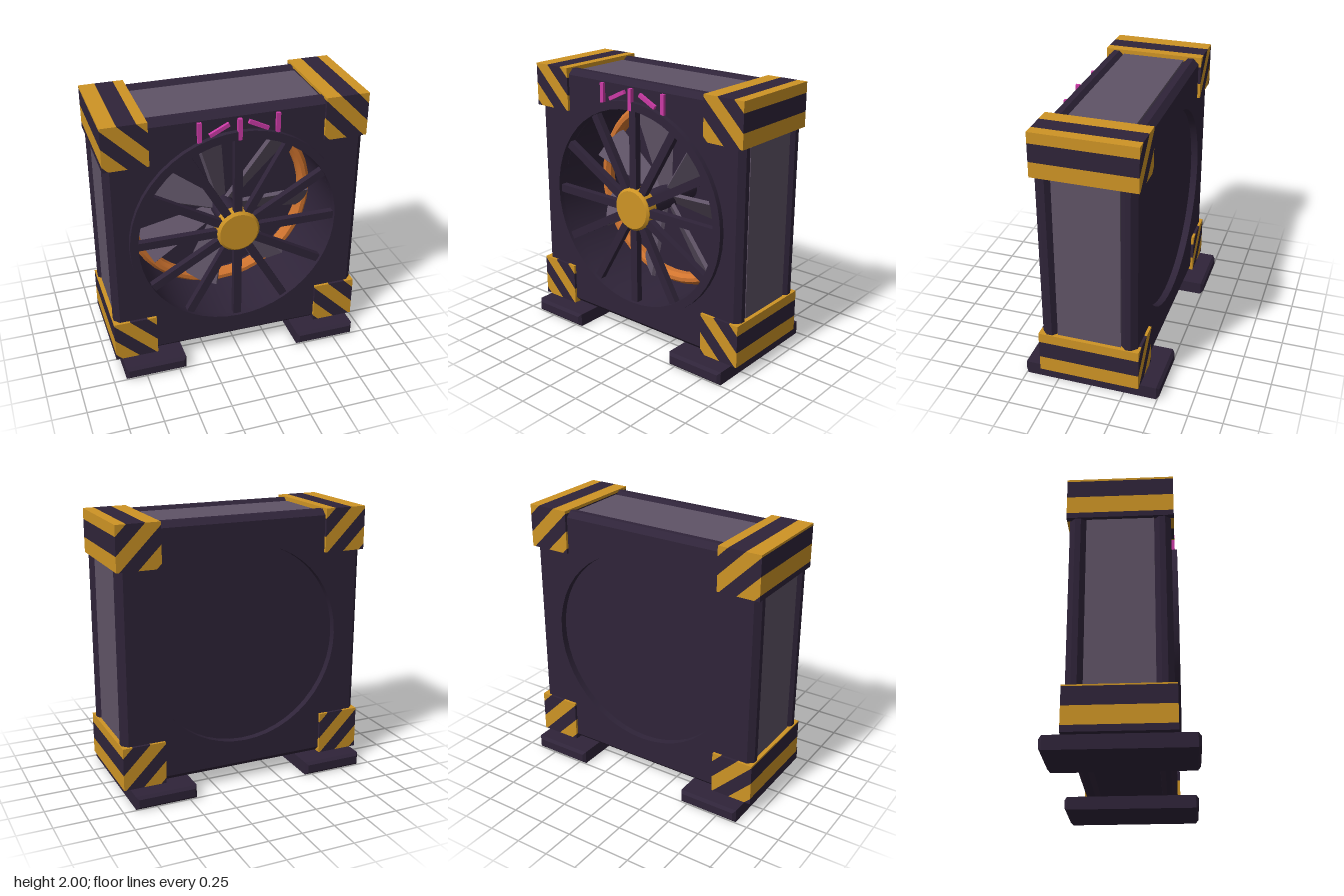
import * as THREE from 'three';
import { toCreasedNormals } from 'three/addons/utils/BufferGeometryUtils.js';

const CY = 1.05; // height of the fan axis

function material(name, color, extra = {}) {
  const m = new THREE.MeshStandardMaterial({ color, ...extra });
  m.name = name;
  return m;
}

export function createModel() {
  const dark = material('dark casing', 0x2f2439, { side: THREE.DoubleSide });
  const grey = material('grey metal', 0x5f5366);
  const yellow = material('hazard yellow', 0xce9425);
  const orange = material('orange glow', 0xd0742f);
  const pink = material('magenta accent', 0xcc3aa6);

  const model = new THREE.Group();
  model.name = 'industrialFan';

  function add(name, geo, mat, x = 0, y = 0, z = 0, parent = model) {
    const m = new THREE.Mesh(geo, mat);
    m.name = name;
    m.position.set(x, y, z);
    parent.add(m);
    return m;
  }
  const box = (w, h, d) => new THREE.BoxGeometry(w, h, d);
  const polygon = (pts) => new THREE.Shape(pts.map(([x, y]) => new THREE.Vector2(x, y)));

  // Box with chamfered edges, optionally pierced by a round hole
  function chamferBox(w, h, d, c, hole = 0) {
    const a = w / 2 - c, b = h / 2 - c;
    const shape = polygon([[-a, -b], [a, -b], [a, b], [-a, b]]);
    if (hole) {
      const path = new THREE.Path();
      path.absarc(0, 0, hole, 0, Math.PI * 2, true);
      shape.holes.push(path);
    }
    const geo = new THREE.ExtrudeGeometry(shape, {
      depth: d - 2 * c, bevelEnabled: true, bevelSize: c, bevelThickness: c,
      bevelSegments: 1, curveSegments: 48,
    });
    return geo.translate(0, 0, -d / 2 + c);
  }

  // Profile of [radius, z] turned around the fan axis
  function turned(profile, sides) {
    const geo = new THREE.LatheGeometry(profile.map(([r, z]) => new THREE.Vector2(r, z)), sides);
    return toCreasedNormals(geo.rotateX(Math.PI / 2), 0.5);
  }
  const ringProfile = (r0, r1, z0, z1) => [[r0, z0], [r1, z0], [r1, z1], [r0, z1], [r0, z0]];

  // Casing: two pierced frames joined by recessed panels and a round duct
  const c = 0.04;
  for (const [name, s] of [['frontFrame', 1], ['backFrame', -1]]) {
    add(name, chamferBox(1.88, 1.89, 0.12, c, 0.74 + c), dark, 0, 1.045, s * 0.292);
  }
  for (const s of [-1, 1]) add('sidePanel', box(0.03, 1.8, 0.47), grey, s * 0.905, 1.045, 0);
  add('topPanel', box(1.8, 0.03, 0.47), grey, 0, 1.955, 0);
  add('bottomPanel', box(1.8, 0.03, 0.47), dark, 0, 0.13, 0);
  add('duct', turned([[0.74, -0.35], [0.74, 0.35]], 48), dark, 0, CY, 0);
  add('frontRim', turned(ringProfile(0.74, 0.8, 0.28, 0.39), 48), dark, 0, CY, 0);
  add('backRim', turned(ringProfile(0.738, 0.79, -0.352, -0.26), 48), dark, 0, CY, 0);
  add('backCover', turned([[0, -0.3], [0.74, -0.3], [0.74, -0.27], [0, -0.27]], 48), dark, 0, CY, 0);

  // Orange ring deep inside the duct
  add('orangeRing', turned([
    [0.65, -0.14], [0.737, -0.14], [0.737, -0.1], [0.705, -0.06], [0.675, -0.06], [0.65, -0.09], [0.65, -0.14],
  ], 40), orange, 0, CY, 0);

  // Rotor: seven pitched, tapering blades on a shaft
  const rotor = new THREE.Group();
  rotor.name = 'rotor';
  rotor.position.set(0, CY, -0.02);
  model.add(rotor);
  const bladeGeo = new THREE.ExtrudeGeometry(
    polygon([[0.06, -0.045], [0.65, -0.14], [0.67, 0], [0.65, 0.14], [0.06, 0.045]]),
    { depth: 0.03, bevelEnabled: false });
  bladeGeo.translate(0, 0, -0.015).rotateX(0.65);
  for (let i = 0; i < 7; i++) {
    const blade = add('blade', bladeGeo, grey, 0, 0, 0, rotor);
    blade.rotation.z = THREE.MathUtils.degToRad(100) + (i * Math.PI * 2) / 7;
  }
  add('shaft', turned([[0.09, -0.27], [0.09, 0.32]], 20), dark, 0, 0, 0, rotor);

  // Guard: twelve spokes and a chamfered hub cap
  const guard = new THREE.Group();
  guard.name = 'guard';
  guard.position.set(0, CY, 0);
  model.add(guard);
  const spokeGeo = box(0.67, 0.06, 0.05).translate(0.415, 0, 0.34);
  for (let i = 0; i < 12; i++) {
    add('spoke', spokeGeo, dark, 0, 0, 0, guard).rotation.z = (i * Math.PI) / 6;
  }
  add('hubCap', turned([[0, 0.29], [0.16, 0.29], [0.16, 0.372], [0.143, 0.388], [0, 0.388]], 24),
    yellow, 0, 0, 0, guard);

  // Corner guards, sliced into diagonal hazard bands along x + y
  const S = 0.32, BAND = 0.13125, START = 1.165;
  function bandShape(a, b) {
    const lo = (v) => Math.max(0, v - S), hi = (v) => Math.min(v, S);
    const pts = [[lo(a), hi(a)], [hi(a), lo(a)]];
    if (a < S && b > S) pts.push([S, 0]);
    pts.push([hi(b), lo(b)], [lo(b), hi(b)]);
    if (a < S && b > S) pts.push([0, S]);
    return polygon(pts.filter((p, i) => {
      const q = pts[(i + 1) % pts.length];
      return Math.hypot(p[0] - q[0], p[1] - q[1]) > 1e-5;
    }));
  }
  for (const x0 of [-0.95, 0.63]) {
    for (const y0 of [0.1, 1.68]) {
      const corner = new THREE.Group();
      corner.name = 'cornerGuard';
      corner.position.set(x0, y0, -0.372);
      model.add(corner);
      const u0 = x0 + y0 - START;
      const first = Math.floor(u0 / BAND);
      for (let k = first; k * BAND < u0 + 2 * S; k++) {
        const a = Math.max(0, k * BAND - u0), b = Math.min(2 * S, (k + 1) * BAND - u0);
        if (b - a < 0.002) continue;
        const geo = new THREE.ExtrudeGeometry(bandShape(a, b), { depth: 0.744, bevelEnabled: false });
        const isDark = k % 2 === 0;
        add(isDark ? 'darkBand' : 'yellowBand', geo, isDark ? dark : yellow, 0, 0, 0, corner);
      }
    }
  }

  // Magenta accent strips above the fan
  for (const [x, h, y] of [[-0.28, 0.145, 1.87], [0, 0.155, 1.865], [0.28, 0.145, 1.87]]) {
    add('accentBar', box(0.03, h, 0.03), pink, x, y, x === 0 ? 0.378 : 0.36);
  }
  for (const s of [-1, 1]) {
    add('accentSlant', box(0.155, 0.028, 0.03), pink, s * 0.14, 1.872, 0.36).rotation.z = -s * 0.46;
  }

  // Feet
  for (const s of [-1, 1]) {
    add('foot', chamferBox(0.46, 0.1, 1.02, 0.02), dark, s * 0.675, 0.05, 0);
  }

  return model;
}
